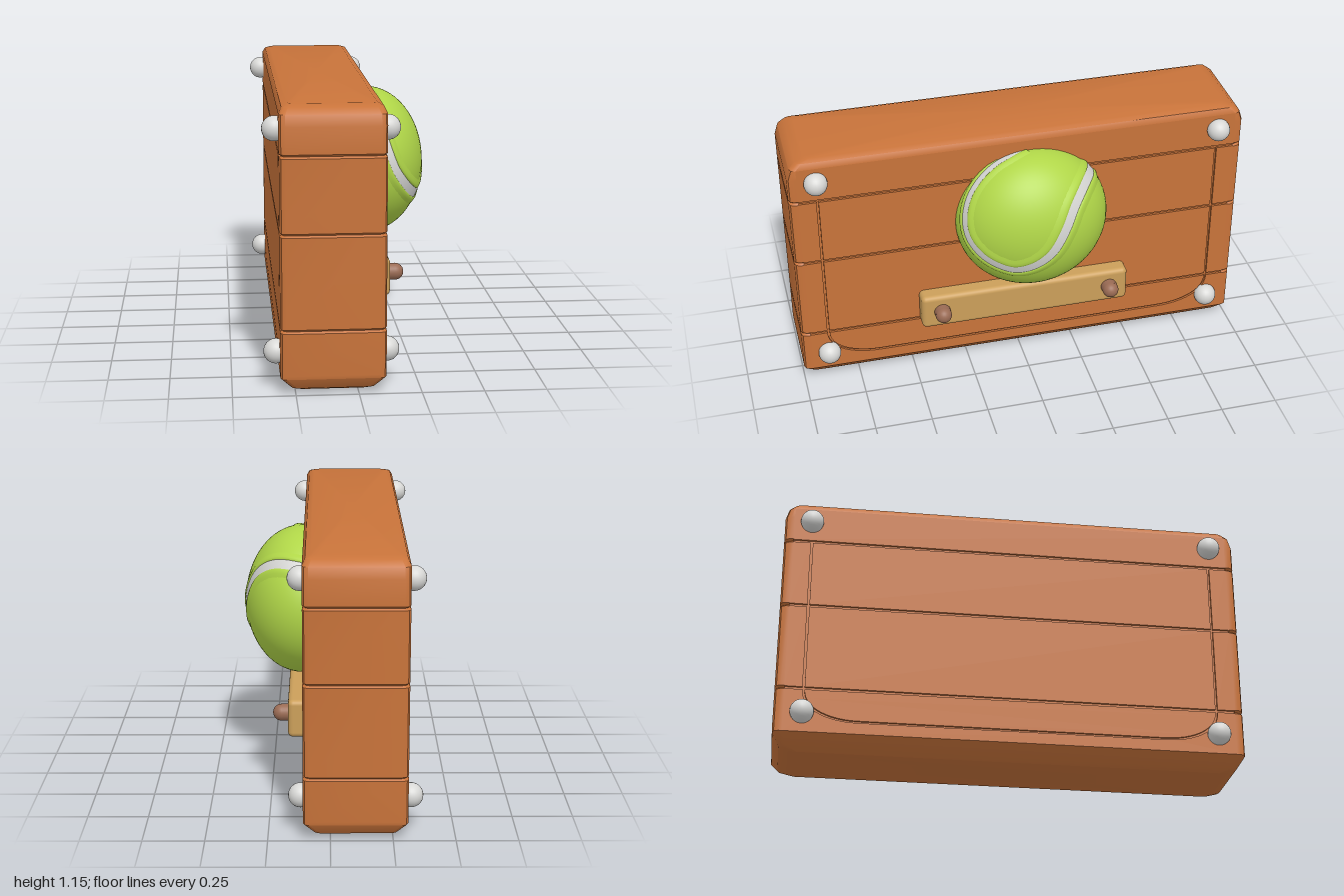
import * as THREE from 'three';
import { toCreasedNormals } from 'three/addons/utils/BufferGeometryUtils.js';
import { RoundedBoxGeometry } from 'three/addons/geometries/RoundedBoxGeometry.js';

const mat = (name, color, extra = {}) => {
  const m = new THREE.MeshStandardMaterial({ color, ...extra });
  m.name = name;
  return m;
};

const CX = -0.1, HX = 0.21, RECESS = 0.01, EDGE = 0.96;
const SEAMS = [0.26, 0.645, 0.955];

function add(parent, name, geometry, material, x = 0, y = 0, z = 0) {
  const mesh = new THREE.Mesh(geometry, material);
  mesh.name = name;
  mesh.position.set(x, y, z);
  parent.add(mesh);
  return mesh;
}

// One horizontal outline of the block, with its broad faces sunk by r
function blockRing(insetX, insetZ, r) {
  const hx = HX - insetX, hz = 1 - insetZ, c = 0.025;
  const e = Math.min(EDGE, hz - c);
  const q = [[hx - r, e], [hx, e], [hx, hz - c], [hx - c * 0.3, hz - c * 0.3], [hx - c, hz]];
  const flip = (sx, sz) => q.map(([x, z]) => [x * sx, z * sz]);
  return [...q, ...flip(-1, 1).reverse(), ...flip(-1, -1), ...flip(1, -1).reverse()];
}

// Block body lofted upward, pinched at each plank seam
function blockGeometry() {
  const rows = [
    [0, 0.065, 0.08, 0], [0.02, 0.042, 0.03, 0], [0.065, 0, 0.001, 0],
    [0.065, 0, 0.001, RECESS], [0.08, 0, 0, RECESS],
    ...SEAMS.flatMap((s) => [
      [s - 0.008, 0, 0, RECESS], [s, 0.008, 0.008, RECESS - 0.008], [s + 0.008, 0, 0, RECESS],
    ]),
    [1.07, 0, 0, RECESS], [1.115, 0, 0.014, RECESS], [1.115, 0, 0.014, 0],
    [1.14, 0.012, 0.042, 0], [1.15, 0.035, 0.08, 0],
  ];
  const pos = [], idx = [];
  let n = 0;
  for (const [y, ix, iz, r] of rows) {
    const ring = blockRing(ix, iz, r);
    n = ring.length;
    for (const [x, z] of ring) pos.push(x, y, z);
  }
  const last = (rows.length - 1) * n, centre = rows.length * n;
  pos.push(0, 0, 0, 0, 1.15, 0);
  for (let i = 0; i < n; i++) {
    const k = (i + 1) % n;
    for (let j = 0; j < rows.length - 1; j++) {
      const a = j * n + i, b = j * n + k;
      idx.push(a, a + n, b, b, a + n, b + n);
    }
    idx.push(centre, i, k, centre + 1, last + k, last + i);
  }
  const g = new THREE.BufferGeometry();
  g.setAttribute('position', new THREE.Float32BufferAttribute(pos, 3));
  g.setIndex(idx);
  return toCreasedNormals(g, 0.6);
}

const rect = (z0, z1, y0, y1) => new THREE.Shape([[z0, y0], [z1, y0], [z1, y1], [z0, y1]]
  .map(([a, b]) => new THREE.Vector2(a, b)));

// Face boards: inner panel and outer frame, separated by narrow grooves
function boardShapes() {
  const g = 0.006, inner = 0.876, outer = 0.885;
  const shapes = [rect(-EDGE, EDGE, SEAMS[2] + g, 1.115)];
  for (let i = 0; i < 2; i++) {
    const y0 = SEAMS[i] + g, y1 = SEAMS[i + 1] - g;
    shapes.push(rect(-inner, inner, y0, y1), rect(outer, EDGE, y0, y1), rect(-EDGE, -outer, y0, y1));
  }
  const top = SEAMS[0] - g;
  const panel = new THREE.Shape();
  panel.moveTo(-inner, top);
  panel.bezierCurveTo(-inner, 0.17, -0.77, 0.124, -0.65, 0.124);
  panel.lineTo(0.65, 0.124);
  panel.bezierCurveTo(0.77, 0.124, inner, 0.17, inner, top);
  const frame = new THREE.Shape();
  frame.moveTo(-EDGE, top);
  frame.lineTo(-EDGE, 0.065);
  frame.lineTo(EDGE, 0.065);
  frame.lineTo(EDGE, top);
  frame.lineTo(outer, top);
  frame.bezierCurveTo(outer, 0.16, 0.775, 0.115, 0.65, 0.115);
  frame.lineTo(-0.65, 0.115);
  frame.bezierCurveTo(-0.775, 0.115, -outer, 0.16, -outer, top);
  return [...shapes, panel, frame];
}

// Ribbon following a curve on the unit sphere; profile = [sideways offset, height]
function ribbon(curve, profile) {
  const N = 120, m = profile.length, pos = [], idx = [];
  for (let i = 0; i <= N; i++) {
    const p = curve.getPoint(i / N).normalize();
    const side = p.clone().cross(curve.getTangent(i / N)).normalize();
    profile.forEach(([o, h], j) => {
      pos.push(...p.clone().addScaledVector(side, o).normalize().multiplyScalar(h).toArray());
      if (i < N && j < m - 1) {
        const a = i * m + j;
        idx.push(a, a + m, a + 1, a + 1, a + m, a + m + 1);
      }
    });
  }
  const g = new THREE.BufferGeometry();
  g.setAttribute('position', new THREE.Float32BufferAttribute(pos, 3));
  g.setIndex(idx);
  g.computeVertexNormals();
  return g;
}

export function createModel() {
  const model = new THREE.Group();
  model.name = 'ballPlaque';
  const wood = mat('orange wood', 0xc8733a);
  const felt = mat('lime felt', 0xb0d648, { side: THREE.DoubleSide });
  const white = mat('seam white', 0xd6d6d4, { side: THREE.DoubleSide });
  const metal = mat('pale metal', 0xd8d8d6);
  const tan = mat('tan wood', 0xcb9f5a);
  const brown = mat('brown peg', 0x9a6b54);
  const grey = mat('grey brown', 0x9a8478);

  // Wooden block with boards on both broad faces
  add(model, 'block', blockGeometry(), wood, CX);
  const boards = new THREE.ExtrudeGeometry(boardShapes(), { depth: RECESS, bevelEnabled: false, curveSegments: 12 });
  for (const s of [1, -1]) {
    add(model, s > 0 ? 'leftBoards' : 'rightBoards', boards, wood, CX + s * (HX - RECESS))
      .rotation.y = s * Math.PI / 2;
  }

  // Corner studs on both faces
  const stud = new THREE.SphereGeometry(0.05, 24, 16);
  for (const x of [0.12, -0.324])
    for (const y of [0.15, 1.048])
      for (const z of [-0.883, 0.883]) add(model, 'stud', stud, metal, x, y, z);

  // Ball, half sunk into the block
  const ball = new THREE.Group();
  ball.name = 'ball';
  ball.position.set(0.12, 0.745, -0.04);
  ball.scale.set(0.25, 0.325, 0.335);
  model.add(ball);
  add(ball, 'ballBody', new THREE.SphereGeometry(1, 64, 40), felt);
  const path = new THREE.CatmullRomCurve3([
    [-0.1, 0.98, 0.1], [0.0, 0.95, 0.3], [0.05, 0.86, 0.5], [0.2, 0.477, 0.856], [0.4, 0.046, 0.915],
    [0.6, -0.2, 0.775], [0.76, -0.35, 0.55], [0.84, -0.4, 0.36], [0.94, -0.32, 0.12],
    [0.98, -0.138, -0.09], [0.947, 0.17, -0.27], [0.79, 0.446, -0.418], [0.51, 0.615, -0.6],
    [0.05, 0.63, -0.776], [-0.2, 0.6, -0.8],
  ].map((p) => new THREE.Vector3(...p).normalize()));
  add(ball, 'ballSeam', ribbon(path, [[-0.07, 1.006], [0, 1.008], [0.07, 1.006]]), white);
  for (const s of [1, -1]) {
    const lip = [[0.065, 1.0], [0.072, 1.016], [0.1, 1.022], [0.14, 1.014], [0.19, 0.998]];
    const profile = lip.map(([o, h]) => [o * s, h]);
    add(ball, 'seamLip', ribbon(path, s > 0 ? profile : profile.reverse()), felt);
  }

  // Shelf bar with two pegs and a thin backing plate
  add(model, 'backingPlate', new THREE.BoxGeometry(0.008, 0.05, 0.27), grey, 0.11, 0.42, -0.035);
  add(model, 'shelfBar', new RoundedBoxGeometry(0.09, 0.165, 0.945, 4, 0.022), tan, 0.134, 0.328, -0.005);
  const pegShaft = new THREE.CylinderGeometry(0.036, 0.036, 0.05, 24).rotateZ(Math.PI / 2);
  const pegEnd = new THREE.SphereGeometry(0.036, 24, 16);
  for (const z of [0.378, -0.39]) {
    add(model, 'pegShaft', pegShaft, brown, 0.184, 0.332, z);
    add(model, 'pegEnd', pegEnd, brown, 0.208, 0.332, z);
  }
  return model;
}
